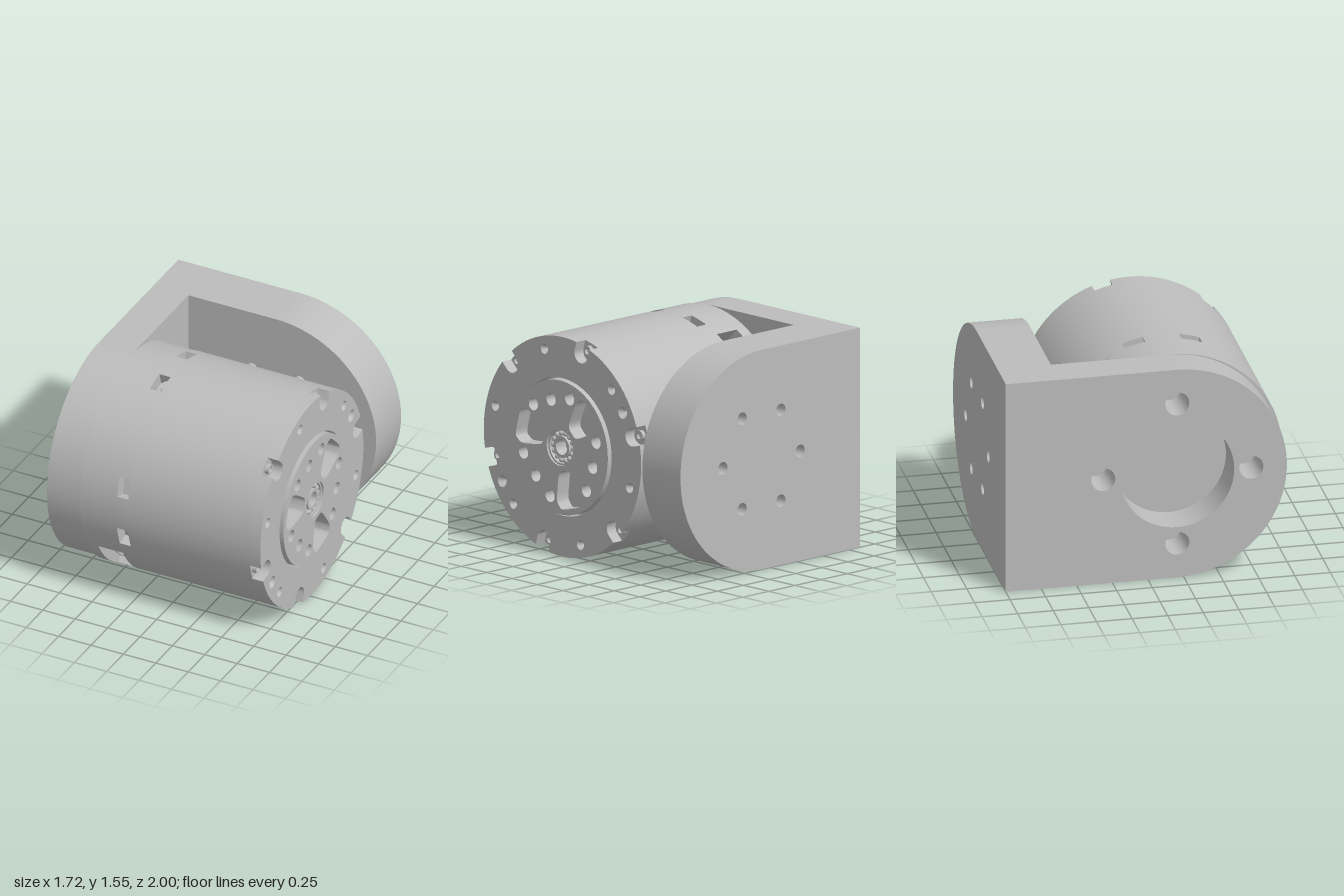
import * as THREE from 'three';
import { toCreasedNormals } from 'three/addons/utils/BufferGeometryUtils.js';

const R = 0.775, DEG = Math.PI / 180;
const grey = new THREE.MeshStandardMaterial({ color: 0xbcbcbc, side: THREE.DoubleSide });
grey.name = 'machined grey';

function add(parent, name, geometry, x = 0, y = 0, z = 0) {
  const mesh = new THREE.Mesh(geometry, grey);
  mesh.name = name;
  mesh.position.set(x, y, z);
  parent.add(mesh);
  return mesh;
}

// Extrude a shape from a to b along local z, with sharp edges and smooth curves
function slab(parent, name, shape, a, b, curveSegments = 16) {
  const geo = new THREE.ExtrudeGeometry(shape, { depth: b - a, bevelEnabled: false, curveSegments });
  return add(parent, name, toCreasedNormals(geo, 0.5), 0, 0, a);
}

function circle(r, u = 0, v = 0, n = 32) {
  const pts = [];
  for (let i = 0; i < n; i++) {
    const t = (i / n) * Math.PI * 2;
    pts.push(new THREE.Vector2(u + r * Math.cos(t), v + r * Math.sin(t)));
  }
  return pts;
}
const hole = (r, u, v, n) => new THREE.Path(circle(r, u, v, n));
const polarHole = (r, dist, deg, n) => hole(r, dist * Math.cos(deg * DEG), dist * Math.sin(deg * DEG), n);

// Disc outline with notches cut into its rim; round notches end in a half circle
function notchedDisc(angles, halfWidth, depth, round = false) {
  const shape = new THREE.Shape();
  const half = Math.asin(halfWidth / R);
  angles.forEach((deg, i) => {
    const a = deg * DEG, c = Math.cos(a), s = Math.sin(a), floor = R - depth;
    const put = (rad, tan) => [rad * c - tan * s, rad * s + tan * c];
    const rim = R * Math.cos(half);
    if (i === 0) shape.moveTo(...put(rim, -halfWidth));
    if (round) {
      const centre = floor + halfWidth;
      shape.lineTo(...put(centre, -halfWidth));
      shape.absarc(...put(centre, 0), halfWidth, a - Math.PI / 2, a - Math.PI * 1.5, true);
    } else {
      shape.lineTo(...put(floor, -halfWidth));
      shape.lineTo(...put(floor, halfWidth));
    }
    shape.lineTo(...put(rim, halfWidth));
    const next = i + 1 < angles.length ? angles[i + 1] : angles[0] + 360;
    shape.absarc(0, 0, R, a + half, next * DEG - half, false);
  });
  return shape;
}

// Closed polygon with its corners rounded off
function roundedPath(pts, k) {
  const path = new THREE.Path();
  pts.forEach((p, i) => {
    const prev = pts[(i + pts.length - 1) % pts.length], next = pts[(i + 1) % pts.length];
    const a = p.clone().lerp(prev, k), b = p.clone().lerp(next, k);
    if (i === 0) path.moveTo(a.x, a.y); else path.lineTo(a.x, a.y);
    path.quadraticCurveTo(p.x, p.y, b.x, b.y);
  });
  path.closePath();
  return path;
}

// Small group whose x points outward from the motor axis
function radialGroup(parent, name, deg) {
  const g = new THREE.Group();
  g.name = name;
  g.rotation.z = deg * DEG;
  parent.add(g);
  return g;
}

export function createModel() {
  const model = new THREE.Group();
  model.name = 'actuator on bracket';

  // Motor axis runs along +x; local x points to the back
  const axis = new THREE.Group();
  axis.name = 'actuator';
  axis.rotation.y = Math.PI / 2;
  axis.position.set(0, R, 0.225);
  model.add(axis);

  // Bracket: side plate with its large bore and four bolt holes
  const side = new THREE.Shape();
  side.moveTo(1.225, -R);
  side.lineTo(1.225, R);
  side.lineTo(0.025, R);
  side.absarc(0.025, 0, R, Math.PI / 2, Math.PI * 1.5, false);
  side.closePath();
  side.holes.push(hole(0.4, 0.02, 0, 64));
  for (let i = 0; i < 4; i++) {
    side.holes.push(hole(0.085, 0.02 + 0.52 * Math.cos(i * Math.PI / 2), 0.52 * Math.sin(i * Math.PI / 2), 24));
  }
  slab(axis, 'bracketSidePlate', side, -0.86, -0.59, 48);

  // Bracket: back plate with six holes
  const back = new THREE.Shape();
  back.moveTo(-0.59, 0);
  back.lineTo(0.085, 0);
  back.absarc(0.085, R, R, -Math.PI / 2, Math.PI / 2, false);
  back.lineTo(-0.59, 2 * R);
  back.closePath();
  for (let i = 0; i < 6; i++) {
    back.holes.push(hole(0.045, 0.085 + 0.37 * Math.cos(i * 60 * DEG), R + 0.37 * Math.sin(i * 60 * DEG), 20));
  }
  slab(model, 'bracketBackPlate', back, -1, -0.625, 48);

  // Housing, in slices along the axis
  const disc = () => new THREE.Shape(circle(R, 0, 0, 96));
  const windows = [15, 75, 105, 165, 195, 255, 285, 345];
  const sockets = [45, 225];
  slab(axis, 'housingRear', disc(), -0.588, -0.5);
  slab(axis, 'housingSocketBand', notchedDisc(sockets, 0.21, 0.2), -0.5, -0.31, 40);
  slab(axis, 'housingWindowBand', notchedDisc(windows, 0.075, 0.09), -0.31, -0.225, 12);
  slab(axis, 'housingMain', disc(), -0.225, 0.715);

  // Rounded tab in each window
  for (const deg of windows) {
    const tab = new THREE.CylinderGeometry(0.05, 0.05, 0.06, 24).rotateZ(Math.PI / 2);
    add(radialGroup(axis, 'windowTab', deg), 'tab', tab, R - 0.07, -0.02, -0.226);
  }

  // Connectors sunk into the sockets
  for (const deg of sockets) {
    const g = radialGroup(axis, 'connector', deg);
    for (const s of [-1, 1]) {
      add(g, 'connectorLongWall', new THREE.BoxGeometry(0.13, 0.32, 0.014), 0.635, 0, -0.43 + s * 0.056);
      add(g, 'connectorEndWall', new THREE.BoxGeometry(0.13, 0.025, 0.126), 0.635, s * 0.16, -0.43);
    }
    add(g, 'connectorDivider', new THREE.BoxGeometry(0.11, 0.02, 0.11), 0.63, -0.09, -0.43);
    for (let i = -1; i <= 1; i++) {
      add(g, 'pin', new THREE.BoxGeometry(0.1, 0.12, 0.012), 0.625, 0.03, -0.43 + i * 0.026);
    }
    add(g, 'connectorLatch', new THREE.BoxGeometry(0.14, 0.12, 0.055), 0.64, 0, -0.338);
  }

  // Front flange with open screw notches and dimples
  const flange = notchedDisc([15, 75, 135, 195, 255, 315], 0.065, 0.13, true);
  flange.holes.push(hole(0.485, 0, 0, 80));
  const dimples = [45, 105, 165, 225, 285, 345].map(d => [d, 0.036]).concat([[30, 0.044], [210, 0.044]]);
  for (const [deg, r] of dimples) {
    flange.holes.push(polarHole(r, 0.685, deg, 20));
    const cone = new THREE.CylinderGeometry(r, 0.004, 0.06, 20, 1, true).rotateX(Math.PI / 2);
    add(axis, 'dimple', cone, 0.685 * Math.cos(deg * DEG), 0.685 * Math.sin(deg * DEG), 0.77);
  }
  slab(axis, 'frontFlange', flange, 0.715, 0.8);

  // Socket-head screws in the notches
  for (let deg = 15; deg < 360; deg += 60) {
    const profile = [[0.036, 0], [0.036, 0.03], [0.022, 0.03], [0.018, 0.012], [0, 0.008]];
    const screw = new THREE.LatheGeometry(profile.map(p => new THREE.Vector2(...p)), 20).rotateX(Math.PI / 2);
    add(axis, 'screw', toCreasedNormals(screw, 0.5), 0.722 * Math.cos(deg * DEG), 0.722 * Math.sin(deg * DEG), 0.715);
  }

  // Output disc: three pockets, nine holes and the centre bore
  const output = new THREE.Shape(circle(0.473, 0, 0, 80));
  output.holes.push(hole(0.13, 0, 0, 40));
  const pocket = [[0.165, -0.055], [0.36, -0.13], [0.43, -0.1], [0.43, 0.1], [0.36, 0.13], [0.165, 0.055]];
  for (let k = 0; k < 3; k++) {
    for (const [deg, d] of [[15, 0.37], [-15, 0.335], [-45, 0.37]]) {
      output.holes.push(polarHole(0.045, d, deg + k * 120, 24));
    }
    const turn = (45 + k * 120) * DEG;
    const pts = pocket.map(p => new THREE.Vector2(...p).rotateAround(new THREE.Vector2(), turn));
    output.holes.push(roundedPath(pts, 0.28));
  }
  slab(axis, 'outputDisc', output, 0.71, 0.825, 6);

  // Ball bearing in the bore
  const ring = (name, outer, inner, top) => {
    const s = new THREE.Shape(circle(outer, 0, 0, 40));
    s.holes.push(hole(inner, 0, 0, 40));
    slab(axis, name, s, 0.71, top);
  };
  ring('bearingOuterRace', 0.13, 0.116, 0.81);
  ring('bearingInnerRace', 0.077, 0.055, 0.81);
  ring('bearingCage', 0.116, 0.077, 0.775);
  for (let i = 0; i < 14; i++) {
    const t = (i / 14) * Math.PI * 2;
    add(axis, 'bearingBall', new THREE.SphereGeometry(0.02, 14, 10), 0.097 * Math.cos(t), 0.097 * Math.sin(t), 0.787);
  }
  return model;
}
